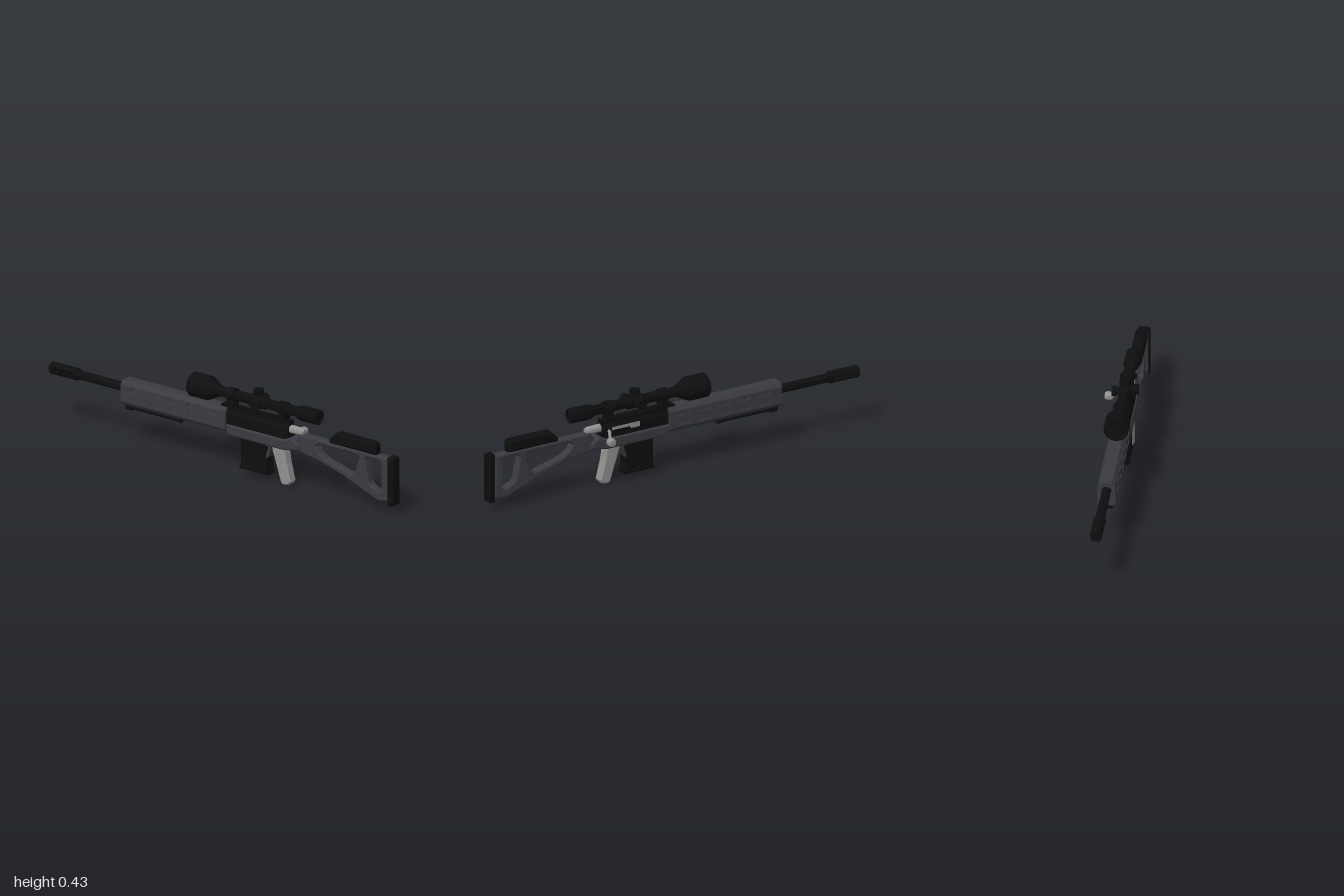
import * as THREE from 'three';
import { toCreasedNormals } from 'three/addons/utils/BufferGeometryUtils.js';

const mat = (name, color) => {
  const m = new THREE.MeshStandardMaterial({ color });
  m.name = name;
  return m;
};

export function createModel() {
  const black = mat('black', 0x0e0e0e);
  const slate = mat('slate', 0x3b3a41);
  const steel = mat('steel', 0x8f918f);

  const root = new THREE.Group();
  root.name = 'rifle';
  root.position.x = -0.03;

  const add = (name, geo, material, parent = root) => {
    const m = new THREE.Mesh(geo, material);
    m.name = name;
    parent.add(m);
    return m;
  };
  const box = (name, m, x, y0, y1, z0, z1, w) =>
    add(name, new THREE.BoxGeometry(w, y1 - y0, Math.abs(z1 - z0)).translate(x, (y0 + y1) / 2, (z0 + z1) / 2), m);
  const path = (pts, Type = THREE.Shape) => new Type(pts.map(p => new THREE.Vector2(p[0], p[1])));

  // Side profile given as [z, y], extruded across the width w
  const side = (name, m, pts, w, holes = [], bevel = 0, x = 0) => {
    const s = path(pts);
    s.holes = holes.map(h => path(h, THREE.Path));
    const d = w - 2 * bevel;
    const g = new THREE.ExtrudeGeometry(s, {
      depth: d, bevelEnabled: bevel > 0, bevelSize: bevel, bevelOffset: -bevel,
      bevelThickness: bevel, bevelSegments: 1,
    });
    return add(name, g.translate(0, 0, -d / 2).rotateY(-Math.PI / 2).translate(x, 0, 0), m);
  };
  // Front profile given as a shape, extruded from z0 forward to z1
  const along = (name, m, shape, z0, z1) =>
    add(name, new THREE.ExtrudeGeometry(shape, { depth: Math.abs(z1 - z0), bevelEnabled: false, curveSegments: 16 })
      .translate(0, 0, Math.min(z0, z1)), m);
  // Turned part along z, profile given as [radius, z] with z decreasing
  const turned = (name, m, y, pts, seg = 24) => {
    const g = new THREE.LatheGeometry(pts.map(p => new THREE.Vector2(p[0], -p[1])), seg).rotateX(-Math.PI / 2);
    return add(name, toCreasedNormals(g, 0.6).translate(0, y, 0), m);
  };
  const rod = (name, m, r, a, b, seg = 16) => {
    const va = new THREE.Vector3(...a), vb = new THREE.Vector3(...b), dir = vb.clone().sub(va);
    const mesh = add(name, new THREE.CylinderGeometry(r, r, dir.length(), seg), m);
    mesh.position.copy(va).add(vb).multiplyScalar(0.5);
    mesh.quaternion.setFromUnitVectors(new THREE.Vector3(0, 1, 0), dir.normalize());
    return mesh;
  };

  // Skeleton stock with two openings
  side('stock', slate,
    [[0.965, 0.265], [0.45, 0.268], [0.43, 0.235], [0.43, 0.185], [0.56, 0.165], [0.70, 0.125], [0.91, 0.045], [0.965, 0.055]],
    0.045,
    [[[0.925, 0.235], [0.915, 0.245], [0.845, 0.245], [0.83, 0.23], [0.853, 0.125], [0.865, 0.11], [0.91, 0.09], [0.925, 0.10]],
     [[0.80, 0.235], [0.785, 0.245], [0.565, 0.245], [0.545, 0.23], [0.565, 0.20], [0.60, 0.18], [0.75, 0.14], [0.768, 0.15]]],
    0.006);
  side('buttPad', black, [[1, 0.045], [1, 0.265], [0.992, 0.272], [0.966, 0.272], [0.966, 0.038], [0.992, 0.038]], 0.054, [], 0.005);
  side('cheekRest', black,
    [[0.893, 0.265], [0.893, 0.31], [0.883, 0.322], [0.665, 0.322], [0.625, 0.285], [0.625, 0.265]], 0.054, [], 0.01);

  // Chassis and trigger guard
  side('chassis', slate,
    [[0.455, 0.19], [0.455, 0.215], [0.41, 0.245], [0.37, 0.228], [0.035, 0.228], [0.035, 0.175], [0.36, 0.175]], 0.072, [], 0.007);
  side('triggerGuard', slate,
    [[0.295, 0.178], [0.275, 0.122], [0.262, 0.108], [0.215, 0.108], [0.19, 0.13], [0.19, 0.178]], 0.05,
    [[[0.277, 0.17], [0.262, 0.128], [0.255, 0.121], [0.22, 0.121], [0.204, 0.135], [0.204, 0.17]]]);
  side('trigger', black, [[0.25, 0.18], [0.235, 0.18], [0.232, 0.15], [0.245, 0.13], [0.243, 0.152]], 0.014);
  side('grip', steel,
    [[0.365, 0.18], [0.29, 0.18], [0.295, 0.155], [0.343, 0.012], [0.352, 0.002], [0.368, 0], [0.392, 0.008], [0.40, 0.022], [0.378, 0.105]],
    0.05, [], 0.007);

  // Magazine with base plate and ribs
  side('magazine', black, [[0.265, 0.18], [0.265, 0.04], [0.115, 0.04], [0.115, 0.18]], 0.052, [], 0.004);
  side('magazineBase', black, [[0.273, 0.028], [0.273, 0.046], [0.108, 0.046], [0.108, 0.028]], 0.057, [], 0.004);
  for (const z of [0.15, 0.19, 0.23]) box('magazineRib', black, 0, 0.055, 0.15, z - 0.008, z + 0.008, 0.057);

  // Hollow handguard core with slotted side plates
  const core = path([[-0.031, 0.19], [0.031, 0.19], [0.041, 0.205], [0.041, 0.212], [0.033, 0.212], [0.033, 0.288],
    [0.041, 0.288], [0.026, 0.306], [-0.026, 0.306], [-0.041, 0.288], [-0.033, 0.288], [-0.033, 0.212], [-0.041, 0.212], [-0.041, 0.205]]);
  core.holes.push(new THREE.Path().absarc(0, 0.258, 0.027, 0, Math.PI * 2, true));
  along('handguard', slate, core, 0.035, -0.57);
  const slots = [];
  for (let i = 0; i < 5; i++) {
    for (const y of [0.227, 0.272]) {
      const z = -0.045 - i * 0.107, a = 0.033, b = 0.011;
      slots.push([[z - a, y - b + 0.005], [z - a, y + b - 0.005], [z - a + 0.006, y + b], [z + a - 0.006, y + b],
        [z + a, y + b - 0.005], [z + a, y - b + 0.005], [z + a - 0.006, y - b], [z - a + 0.006, y - b]]);
    }
  }
  for (const s of [-1, 1])
    side('handguardSide', slate, [[0.035, 0.212], [0.035, 0.288], [-0.57, 0.288], [-0.57, 0.212]], 0.008, slots, 0, s * 0.037);

  // Folded support under the handguard
  box('supportMount', black, 0, 0.166, 0.192, -0.515, -0.557, 0.052);
  box('supportRail', black, 0, 0.182, 0.191, -0.24, -0.53, 0.02);
  for (const s of [-1, 1]) {
    rod('supportLeg', black, 0.007, [s * 0.015, 0.176, -0.245], [s * 0.015, 0.176, -0.53], 10);
    rod('supportFoot', black, 0.01, [s * 0.015, 0.176, -0.235], [s * 0.015, 0.176, -0.255], 10);
  }

  // Barrel and ported muzzle brake
  const axis = 0.26;
  turned('barrel', black, axis, [[0, 0.03], [0.021, 0.03], [0.021, -0.85], [0, -0.85]]);
  const R = 0.029, h = 0.015, t = Math.asin(h / R);
  const zs = [-0.845, -0.865, -0.893, -0.907, -0.935, -0.949, -0.977, -1];
  for (let i = 0; i < zs.length; i += 2)
    turned('muzzleRing', black, axis, [[0, zs[i]], [R - 0.003, zs[i]], [R, zs[i] - 0.003], [R, zs[i + 1] + 0.003], [R - 0.003, zs[i + 1]], [0, zs[i + 1]]]);
  for (const a of [0, Math.PI])
    along('muzzleBridge', black, new THREE.Shape().absarc(0, 0, R - 0.001, a + t, a + Math.PI - t, false), -0.85, -0.99)
      .position.y = axis;

  // Receiver, ejection port and bolt
  along('receiver', black, path([[-0.028, 0.22], [0.028, 0.22], [0.028, 0.275], [0.016, 0.301], [-0.016, 0.301], [-0.028, 0.275]]), 0.39, 0.03);
  box('ejectionPort', steel, 0.0275, 0.252, 0.276, 0.19, 0.24, 0.006);
  box('boltBody', steel, 0.0275, 0.262, 0.276, 0.24, 0.34, 0.004);
  turned('boltShroud', steel, 0.275, [[0, 0.47], [0.013, 0.468], [0.018, 0.455], [0.02, 0.38], [0, 0.38]], 16);
  const arm = new THREE.CatmullRomCurve3([[0.01, 0.263, 0.355], [0.035, 0.262, 0.358], [0.058, 0.252, 0.37], [0.08, 0.239, 0.383]]
    .map(p => new THREE.Vector3(...p)));
  add('boltHandle', new THREE.TubeGeometry(arm, 16, 0.0075, 10), steel);
  const knob = add('boltKnob', toCreasedNormals(new THREE.LatheGeometry(
    [[0, -0.021], [0.013, -0.02], [0.02, -0.01], [0.021, 0.008], [0.016, 0.018], [0, 0.021]].map(p => new THREE.Vector2(...p)), 16), 0.7), steel);
  knob.position.set(0.095, 0.235, 0.386);
  knob.rotation.z = -Math.PI / 2;

  // Toothed rail
  box('rail', black, 0, 0.296, 0.308, 0.39, 0, 0.036);
  for (let i = 0; i < 20; i++) box('railTooth', black, 0, 0.306, 0.316, 0.387 - i * 0.02, 0.376 - i * 0.02, 0.042);

  // Scope with recessed lens ends, rings and turrets
  const sy = 0.367;
  turned('scope', black, sy, [[0, 0.545], [0.028, 0.545], [0.03, 0.556], [0.035, 0.552], [0.036, 0.46], [0.034, 0.445],
    [0.024, 0.425], [0.024, -0.01], [0.03, -0.03], [0.053, -0.075], [0.057, -0.085], [0.057, -0.176],
    [0.054, -0.18], [0.047, -0.18], [0.045, -0.168], [0, -0.168]], 32);
  for (const z of [0.345, 0.05]) {
    turned('scopeRing', black, sy, [[0.023, z + 0.02], [0.031, z + 0.02], [0.031, z - 0.02], [0.023, z - 0.02]]);
    box('ringBase', black, 0, 0.306, 0.35, z - 0.018, z + 0.018, 0.046);
    for (const s of [-1, 1]) box('ringClamp', black, s * 0.031, sy - 0.008, sy + 0.008, z - 0.014, z + 0.014, 0.014);
  }
  turned('turretHousing', black, sy, [[0.024, 0.25], [0.031, 0.242], [0.031, 0.16], [0.024, 0.152]]);
  rod('topTurretNeck', black, 0.017, [0, sy, 0.2], [0, 0.41, 0.2]);
  rod('topTurret', black, 0.025, [0, 0.404, 0.2], [0, 0.427, 0.2], 20);
  for (const [s, z] of [[-1, 0.222], [1, 0.195]]) {
    rod('sideTurretNeck', black, 0.017, [0, sy, z], [s * 0.045, sy, z]);
    rod('sideTurret', black, 0.024, [s * 0.037, sy, z], [s * 0.06, sy, z], 20);
  }
  return root;
}
